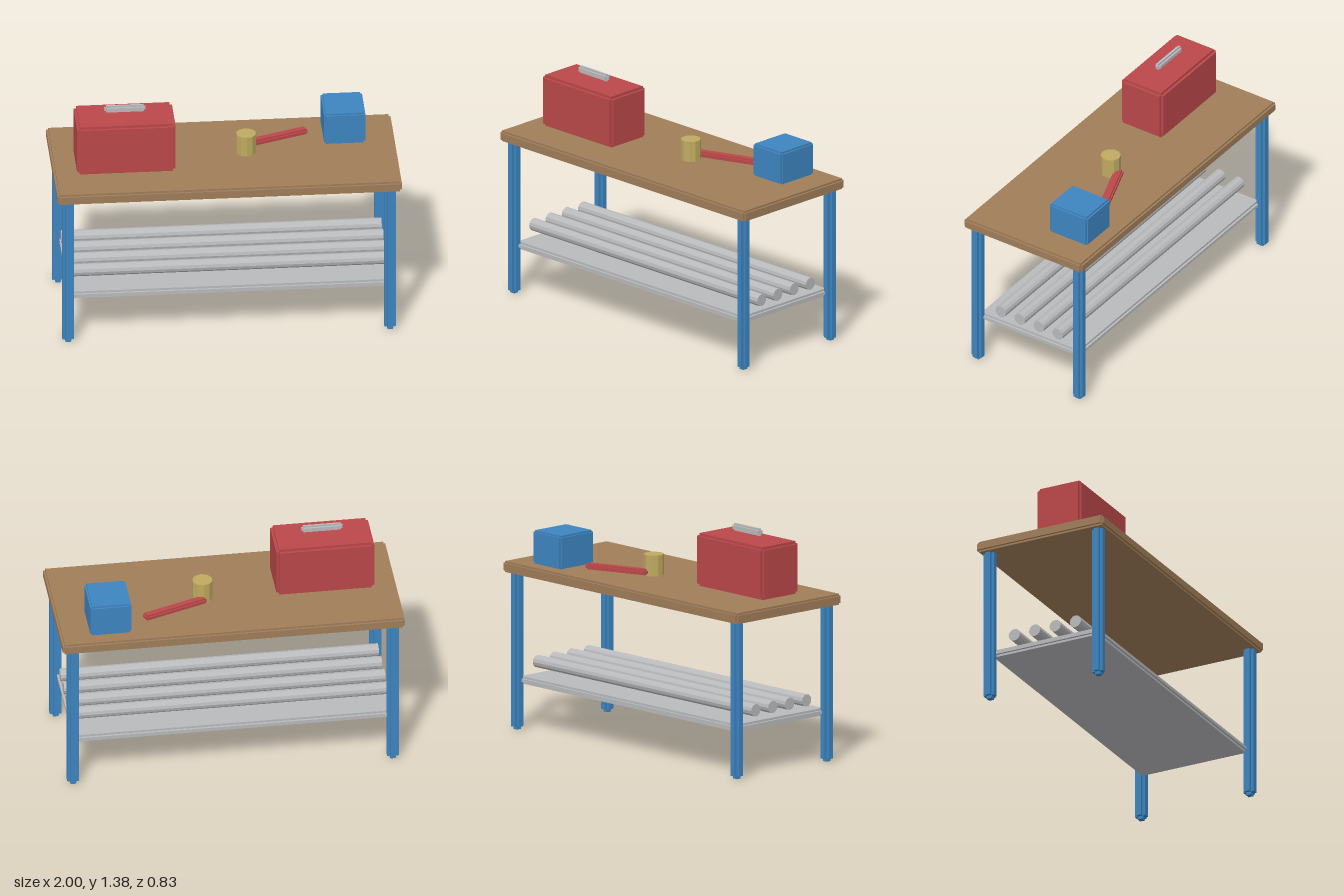
import * as THREE from 'three';
import { mergeGeometries } from 'three/addons/utils/BufferGeometryUtils.js';

const paint = (name, color) => {
  const m = new THREE.MeshStandardMaterial({ color });
  m.name = name;
  return m;
};

// Box with stepped edges: three crossing boxes, each full size along one axis
function steppedBox(w, h, d, b) {
  const s = 2 * b;
  return mergeGeometries([
    new THREE.BoxGeometry(w, h - s, d - s),
    new THREE.BoxGeometry(w - s, h, d - s),
    new THREE.BoxGeometry(w - s, h - s, d),
  ]);
}

export function createModel() {
  const model = new THREE.Group();
  model.name = 'workbench';
  const wood = paint('wood', 0xa07d59);
  const blue = paint('blue', 0x3d85c0);
  const red = paint('red', 0xba4749);
  const steel = paint('steel', 0xb9babc);
  const brass = paint('brass', 0xbfaa60);

  const add = (name, geometry, material, x, y, z) => {
    const mesh = new THREE.Mesh(geometry, material);
    mesh.name = name;
    mesh.position.set(x, y, z);
    model.add(mesh);
    return mesh;
  };
  // Stepped box given by its ranges on x, y and z
  const block = (name, material, [x0, x1], [y0, y1], [z0, z1], b) =>
    add(name, steppedBox(x1 - x0, y1 - y0, z1 - z0, b), material,
      (x0 + x1) / 2, (y0 + y1) / 2, (z0 + z1) / 2);

  // Bench: top, legs, shelf
  block('tabletop', wood, [-1, 1], [0.927, 0.992], [-0.413, 0.413], 0.012);
  for (const x of [-0.935, 0.935])
    for (const z of [-0.355, 0.355])
      block('leg', blue, [x - 0.034, x + 0.034], [0, 0.948], [z - 0.034, z + 0.034], 0.018);
  block('shelf', steel, [-0.93, 0.93], [0.27, 0.314], [-0.352, 0.352], 0.013);

  // Stock rods above the shelf
  for (const z of [-0.2, -0.067, 0.067, 0.2]) {
    const geometry = new THREE.CylinderGeometry(0.037, 0.037, 1.86, 12);
    geometry.rotateZ(Math.PI / 2);
    const rod = add('rod', geometry.toNonIndexed(), steel, 0, 0.38, z);
    rod.geometry.computeVertexNormals();
  }

  // Toolbox with its handle
  block('toolbox', red, [-0.868, -0.296], [1.002, 1.314], [-0.09, 0.2], 0.016);
  block('toolboxHandle', steel, [-0.7, -0.46], [1.337, 1.38], [0.04, 0.074], 0.011);

  // Hammer: cylindrical head and angled handle
  const head = new THREE.CylinderGeometry(0.059, 0.059, 0.123, 10).toNonIndexed();
  head.computeVertexNormals();
  add('hammerHead', head, brass, 0.13, 1.0535, -0.024);
  const handle = add('hammerHandle', steppedBox(0.4, 0.034, 0.056, 0.01), red, 0.308, 1.015, -0.145);
  handle.rotation.y = 0.35;

  // Parts box
  block('partsBox', blue, [0.588, 0.828], [0.992, 1.19], [-0.335, -0.068], 0.011);

  return model;
}
